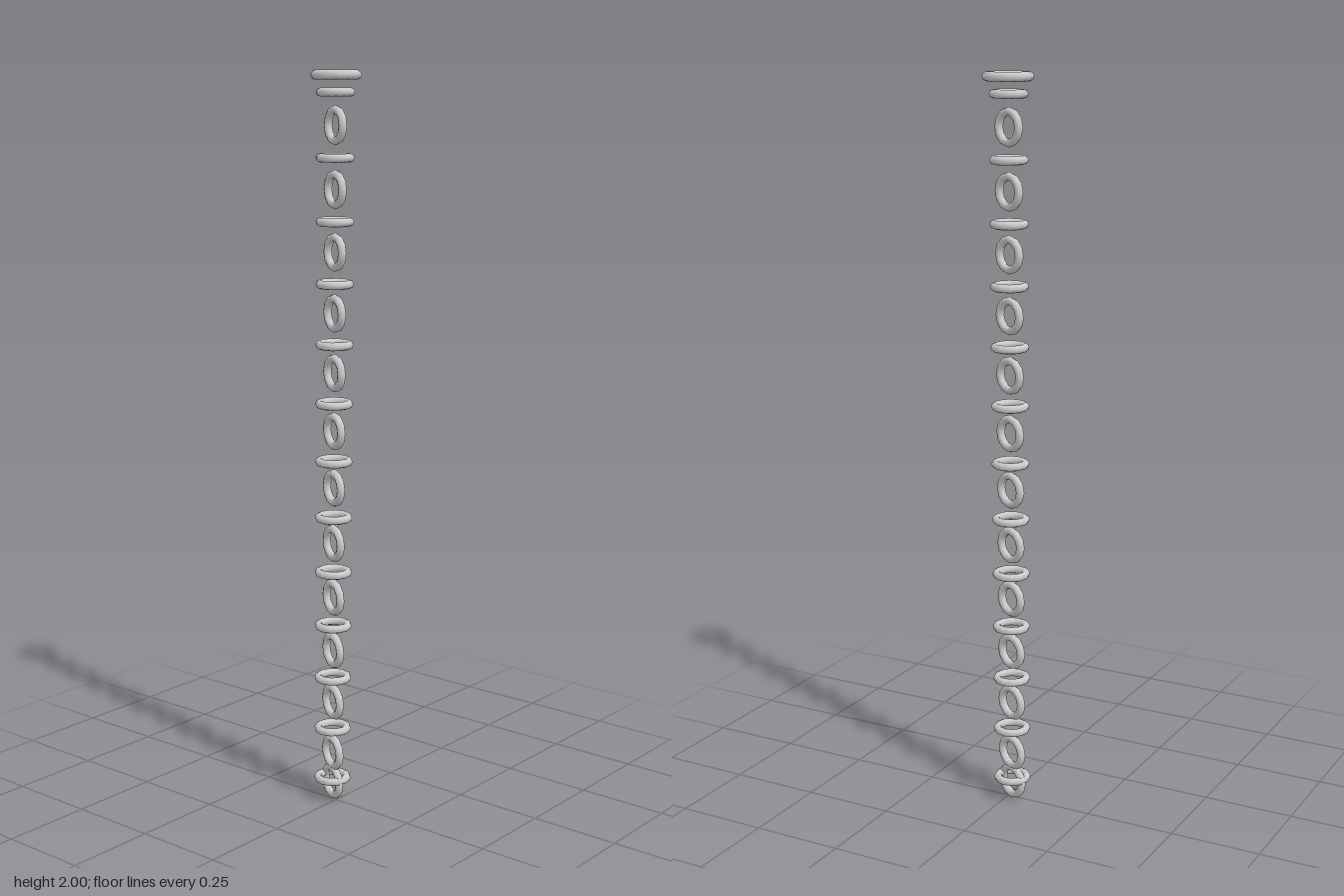
import * as THREE from 'three';

export function createModel() {
  const chain = new THREE.Group();
  chain.name = 'chain';
  const material = new THREE.MeshStandardMaterial({ color: 0xcccccc });
  const linkShape = new THREE.TorusGeometry(0.0402, 0.0113, 8, 12);
  const topShape = new THREE.TorusGeometry(0.055, 0.0125, 8, 12);

  function addRing(name, geometry, x, y, z, flat) {
    const ring = new THREE.Mesh(geometry, material);
    ring.name = name;
    ring.position.set(x, y, z);
    if (flat) ring.rotation.x = Math.PI / 2;
    else ring.rotation.y = -0.38; // upright links are turned a little
    chain.add(ring);
  }

  // Larger ring that the chain hangs from
  addRing('topRing', topShape, 0, 1.9875, 0, true);

  // Flat links; the spacing tightens and the chain drifts towards the bottom
  for (let i = 0; i <= 12; i++) {
    const t = i / 12;
    const y = 1.944 - 0.168 * i + 0.00094 * i * i;
    addRing('flatLink' + (i + 1), linkShape, -0.001 - 0.015 * t, y, 0.001 - 0.005 * t, true);
  }

  // Upright links between the flat ones
  for (let i = 0; i <= 11; i++) {
    const t = i / 11;
    const y = 1.86 - 0.1655 * i + 0.00081 * i * i;
    addRing('uprightLink' + (i + 1), linkShape, -0.001 - 0.014 * t, y, 0.001 - 0.005 * t, false);
  }

  // Last link, overlapping the lowest flat one
  addRing('endLink', linkShape, -0.016, 0.0515, -0.004, false);

  return chain;
}
